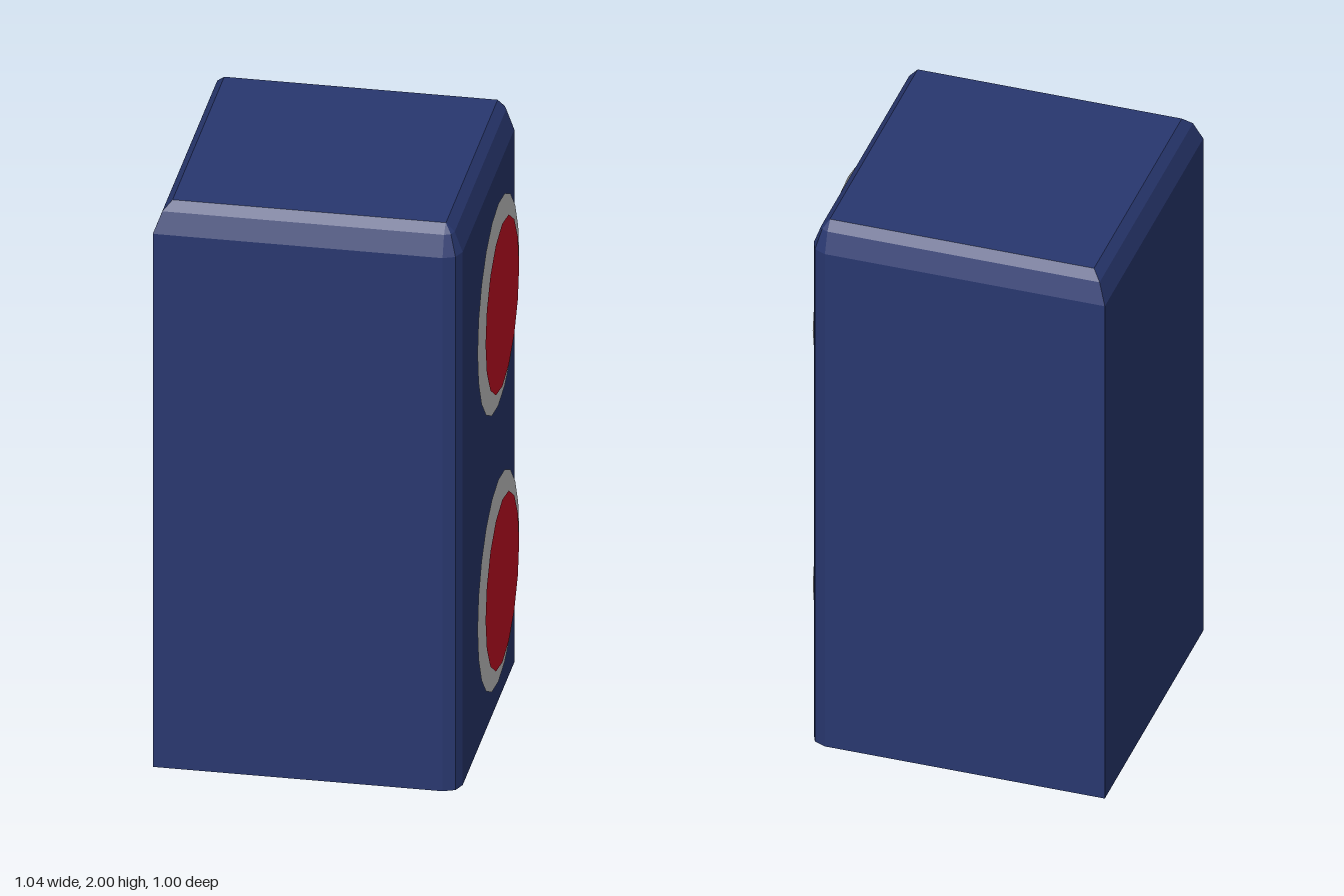
import * as THREE from 'three';

const X0 = -0.52, X1 = 0.475, Z = 0.5, R = 0.055;

// Horizontal outline, counter-clockwise from above: square back corners, rounded speaker-side corners
function outline(y, inset) {
  const r = R - inset, x1 = X1 - R, z1 = Z - R;
  const points = [[X0 + inset, Z - inset]];
  for (const a of [90, 45, 0, 0, -45, -90]) {
    const t = THREE.MathUtils.degToRad(a);
    const side = points.length <= 3 ? 1 : -1;
    points.push([x1 + r * Math.cos(t), side * z1 + r * Math.sin(t)]);
  }
  points.push([X0 + inset, -Z + inset]);
  return points.map(([x, z]) => [x, y, z]);
}

// Skin a stack of outlines and close both ends
function loft(loops) {
  const n = loops[0].length, pos = [];
  const tri = (a, b, c) => pos.push(...a, ...b, ...c);
  for (let k = 0; k < loops.length - 1; k++) {
    const lo = loops[k], hi = loops[k + 1];
    for (let i = 0; i < n; i++) {
      const j = (i + 1) % n;
      tri(lo[i], lo[j], hi[j]);
      tri(lo[i], hi[j], hi[i]);
    }
  }
  const bottom = loops[0], top = loops[loops.length - 1];
  for (let i = 1; i < n - 1; i++) {
    tri(top[0], top[i], top[i + 1]);
    tri(bottom[0], bottom[i + 1], bottom[i]);
  }
  const geo = new THREE.BufferGeometry();
  geo.setAttribute('position', new THREE.Float32BufferAttribute(pos, 3));
  geo.computeVertexNormals();
  return geo;
}

export function createModel() {
  const model = new THREE.Group();
  model.name = 'speaker';
  const blue = new THREE.MeshStandardMaterial({ color: 0x28376f, flatShading: true });
  const grey = new THREE.MeshStandardMaterial({ color: 0xcccccc, side: THREE.DoubleSide });
  const red = new THREE.MeshStandardMaterial({ color: 0xcc1025, side: THREE.DoubleSide });

  // Cabinet with a bevelled top
  const levels = [[0, 0], [1.9, 0], [1.97, 0.026], [2, 0.054]];
  const cabinet = new THREE.Mesh(loft(levels.map(([y, inset]) => outline(y, inset))), blue);
  cabinet.name = 'cabinet';
  model.add(cabinet);

  // Flat discs standing just off the +x side
  const disc = (name, radius, sides, x, y, material) => {
    const mesh = new THREE.Mesh(new THREE.CircleGeometry(radius, sides), material);
    mesh.name = name;
    mesh.rotation.y = Math.PI / 2;
    mesh.position.set(x, y, 0);
    model.add(mesh);
  };
  for (const [name, y] of [['upper', 1.497], ['lower', 0.513]]) {
    disc(name + 'Rim', 0.36, 20, 0.507, y, grey);
    disc(name + 'Cone', 0.29, 16, 0.52, y, red);
  }
  return model;
}
